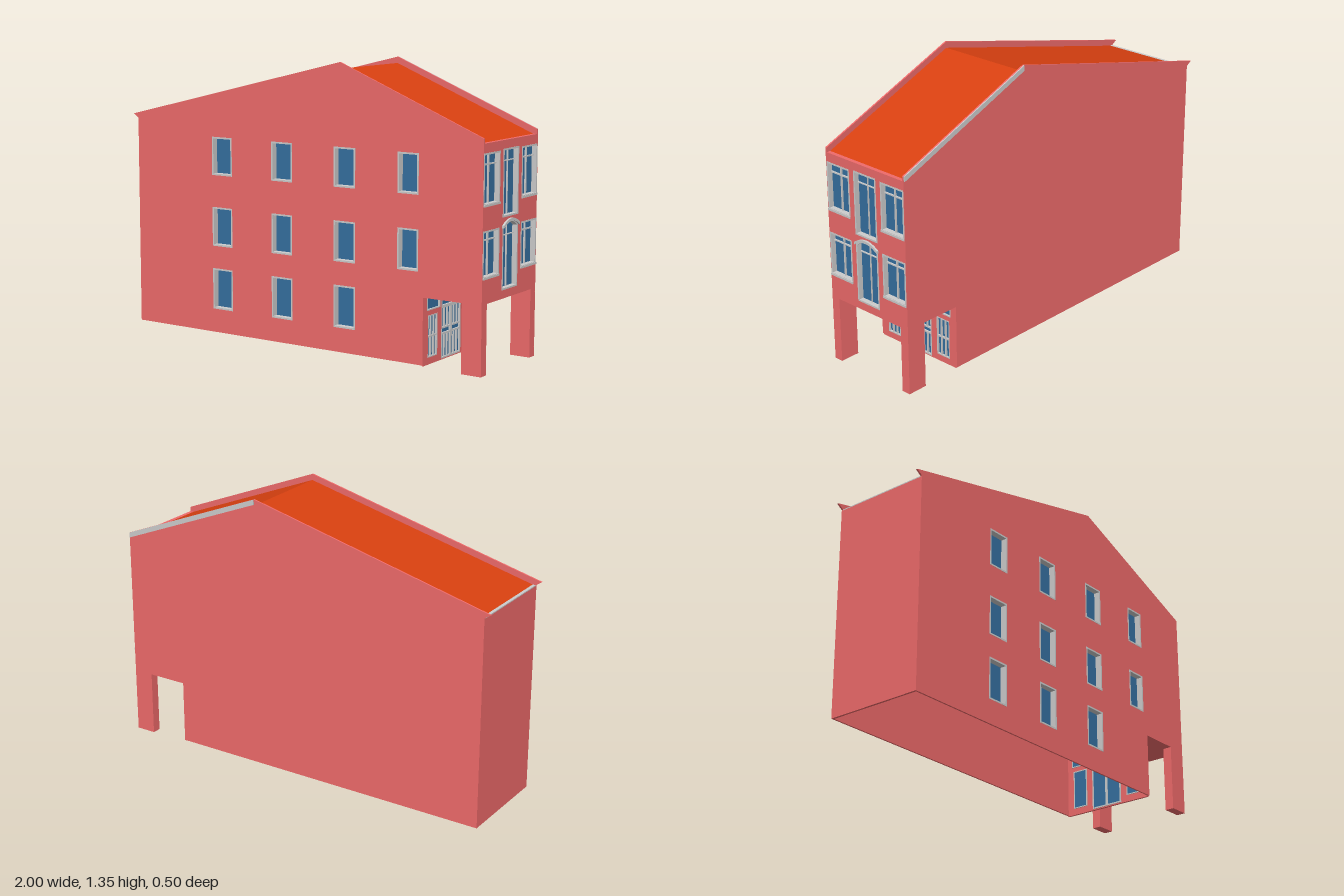
import * as THREE from 'three';

const mat = (color) => new THREE.MeshStandardMaterial({ color, side: THREE.DoubleSide, flatShading: true });
const wallMat = mat(0xee6a6a), roofMat = mat(0xd84010), glassMat = mat(0x356f9f), greyMat = mat(0xcccccc);

function add(parent, name, geometry, material) {
  const mesh = new THREE.Mesh(geometry, material);
  mesh.name = name;
  parent.add(mesh);
  return mesh;
}

// Box given by its minimum and maximum corners
function box(parent, name, material, [x0, y0, z0], [x1, y1, z1]) {
  const mesh = add(parent, name, new THREE.BoxGeometry(x1 - x0, y1 - y0, z1 - z0), material);
  mesh.position.set((x0 + x1) / 2, (y0 + y1) / 2, (z0 + z1) / 2);
  return mesh;
}

const polygon = (points) => new THREE.Shape(points.map(([x, y]) => new THREE.Vector2(x, y)));

// Extrudes a shape between two depths
function slab(shape, z0, z1) {
  const options = { depth: z1 - z0, bevelEnabled: false, curveSegments: 10 };
  return new THREE.ExtrudeGeometry(shape, options).translate(0, 0, z0);
}

// Opening outline, optionally with an arched head
function outline({ x0, x1, y0, y1, rise = 0 }, inset = 0) {
  const a = x0 + inset, b = x1 - inset, c = y0 + inset, d = y1 - inset;
  const shape = new THREE.Shape();
  shape.moveTo(a, c);
  shape.lineTo(b, c);
  shape.lineTo(b, d - rise);
  if (rise) shape.quadraticCurveTo((a + b) / 2, d + rise, a, d - rise);
  else shape.lineTo(a, d);
  shape.closePath();
  return shape;
}

// Recessed window: frame lining the opening, pane, glazing bars and sill
function addWindow(parent, name, o, { frame = 0.008, depth = 0.03, bars = [], sill = 0 } = {}) {
  const group = new THREE.Group();
  group.name = name;
  const ring = outline(o);
  ring.holes.push(outline(o, frame));
  add(group, 'frame', slab(ring, -depth, 0.001), greyMat);
  add(group, 'pane', slab(outline(o, frame * 0.5), -depth + 0.002, -depth + 0.006), glassMat);
  for (const [x0, y0, x1, y1] of bars) {
    box(group, 'glazingBar', greyMat, [x0, y0, -depth + 0.004], [x1, y1, -depth + 0.014]);
  }
  if (sill) box(group, 'sill', greyMat, [o.x0, o.y0 - 0.004, -depth], [o.x1, o.y0 + 0.006, sill]);
  parent.add(group);
}

const vBar = (x, y0, y1, t = 0.003) => [x - t, y0, x + t, y1];
const hBar = (y, x0, x1, t = 0.003) => [x0, y - t, x1, y + t];

export function createModel() {
  const model = new THREE.Group();
  model.name = 'townHouse';

  // Gable walls, with the passage cut through near the street end
  const gable = [[-0.97, 0.01], [0.69, 0.01], [0.69, 0.32], [0.89, 0.32], [0.89, 0], [0.99, 0],
    [0.99, 1.05], [0.24, 1.35], [-1, 1.05], [-0.97, 1.03]];
  add(model, 'backGableWall', slab(polygon(gable), -0.245, -0.237), wallMat);

  const columns = [[-0.505, -0.385], [-0.15, -0.03], [0.205, 0.325], [0.553, 0.663]];
  const rows = [[0.125, 0.325], [0.435, 0.625], [0.78, 0.965]];
  const sideWindows = [];
  columns.forEach(([x0, x1], i) => rows.forEach(([y0, y1], j) => {
    if (i < 3 || j > 0) sideWindows.push({ x0, x1, y0, y1 });
  }));
  const frontShape = polygon(gable);
  sideWindows.forEach((o) => frontShape.holes.push(outline(o)));
  add(model, 'frontGableWall', slab(frontShape, 0.237, 0.245), wallMat);
  const sideGroup = new THREE.Group();
  sideGroup.name = 'sideWindows';
  sideGroup.position.z = 0.245;
  sideWindows.forEach((o) => addWindow(sideGroup, 'sideWindow', o, { depth: 0.035 }));
  model.add(sideGroup);

  // Roof set just below the parapets, end wall and gutter
  const roof = [[-0.957, 1.03], [0.24, 1.32], [0.97, 1.028], [0.97, 1.018], [0.24, 1.31], [-0.957, 1.02]];
  add(model, 'roof', slab(polygon(roof), -0.238, 0.238), roofMat);
  box(model, 'endWall', wallMat, [-0.97, 0.01, -0.24], [-0.96, 1.026, 0.24]);
  box(model, 'gutter', greyMat, [-0.97, 1.026, -0.238], [-0.955, 1.031, 0.238]);
  const flashing = [[0.24, 1.35], [0.24, 1.325], [0.988, 1.026], [0.988, 1.051]];
  add(model, 'parapetFlashing', slab(polygon(flashing), -0.25, -0.245), greyMat);

  // Street facade, built facing +z and turned to face +x
  const facade = new THREE.Group();
  facade.name = 'streetFacade';
  facade.rotation.y = Math.PI / 2;
  facade.position.x = 0.99;
  model.add(facade);
  const facadeWindows = [];
  for (const [y0, y1, transom] of [[0.435, 0.645, 0.6], [0.755, 0.985, 0.932]]) {
    for (const s of [-1, 1]) {
      const x0 = s < 0 ? -0.242 : 0.098, x1 = x0 + 0.144;
      const bars = [vBar(s * 0.17, y0, y1), hBar(transom, x0, x1)];
      facadeWindows.push([{ x0, x1, y0, y1 }, { bars, sill: 0.005 }]);
    }
  }
  const tall = { x0: -0.07, x1: 0.07 };
  facadeWindows.push(
    [{ ...tall, y0: 0.358, y1: 0.67, rise: 0.026 }, { bars: [vBar(0, 0.36, 0.66, 0.001), hBar(0.6, -0.07, 0.07, 0.002)] }],
    [{ ...tall, y0: 0.685, y1: 0.99 }, { bars: [vBar(0, 0.69, 0.985, 0.001), hBar(0.932, -0.07, 0.07, 0.002)] }]);
  const facadeShape = polygon([[-0.245, 0.32], [0.245, 0.32], [0.245, 1.028], [-0.245, 1.028]]);
  facadeWindows.forEach(([o]) => facadeShape.holes.push(outline(o)));
  add(facade, 'facadeWall', slab(facadeShape, -0.02, 0), wallMat);
  facadeWindows.forEach(([o, options]) => addWindow(facade, 'facadeWindow', o, options));

  // Curved hood over the arched window
  const hood = new THREE.Shape();
  hood.moveTo(-0.073, 0.637);
  hood.quadraticCurveTo(0, 0.689, 0.073, 0.637);
  hood.lineTo(0.073, 0.65);
  hood.quadraticCurveTo(0, 0.702, -0.073, 0.65);
  add(facade, 'archHood', slab(hood, -0.01, 0.01), greyMat);

  // Pillars and passage ceiling
  for (const s of [-1, 1]) {
    box(model, 'pillar', wallMat, [0.89, 0, s < 0 ? -0.2449 : 0.2], [0.9899, 0.321, s < 0 ? -0.2 : 0.2449]);
  }
  box(model, 'passageCeiling', wallMat, [0.69, 0.32, -0.24], [0.985, 0.328, 0.24]);

  // Recessed shop front
  const shop = new THREE.Group();
  shop.name = 'recessedEntrance';
  shop.rotation.y = Math.PI / 2;
  shop.position.x = 0.69;
  model.add(shop);
  const openings = [];
  for (const s of [-1, 1]) {
    const c = s * 0.16;
    // Side light with three by two panes, and the small light above
    openings.push([{ x0: c - 0.04, x1: c + 0.04, y0: 0.037, y1: 0.23 }, {
      frame: 0.005, depth: 0.014,
      bars: [vBar(c - 0.013, 0.04, 0.228), vBar(c + 0.013, 0.04, 0.228), hBar(0.133, c - 0.038, c + 0.038, 0.004)],
    }]);
    openings.push([{ x0: c - 0.057 + s * -0.007, x1: c + 0.057 + s * -0.007, y0: 0.253, y1: 0.318 }, { frame: 0.005, depth: 0.014 }]);
    // Door leaf with a rail band between tall panes
    const x0 = s < 0 ? -0.085 : 0, m = s * 0.0425;
    const bars = [hBar(0.125, x0, x0 + 0.085, 0.004), hBar(0.152, x0, x0 + 0.085, 0.004)];
    for (const dx of [-0.013, 0.013]) bars.push(vBar(m + dx, 0.012, 0.125), vBar(m + dx, 0.152, 0.248));
    openings.push([{ x0, x1: x0 + 0.085, y0: 0.01, y1: 0.25 }, { frame: 0.007, depth: 0.014, bars }]);
  }
  openings.push([{ x0: -0.085, x1: 0.085, y0: 0.25, y1: 0.319 }, { frame: 0.007, depth: 0.014 }]);
  const shopShape = polygon([[-0.238, 0.005], [0.238, 0.005], [0.238, 0.322], [-0.238, 0.322]]);
  openings.slice(0, -1).filter(([o]) => o.y0 > 0.02).forEach(([o]) => shopShape.holes.push(outline(o)));
  shopShape.holes.push(outline({ x0: -0.085, x1: 0.085, y0: 0.01, y1: 0.319 }));
  add(shop, 'entranceWall', slab(shopShape, -0.01, 0), wallMat);
  openings.forEach(([o, options]) => addWindow(shop, o.y0 === 0.01 ? 'doorLeaf' : 'shopWindow', o, options));

  return model;
}
